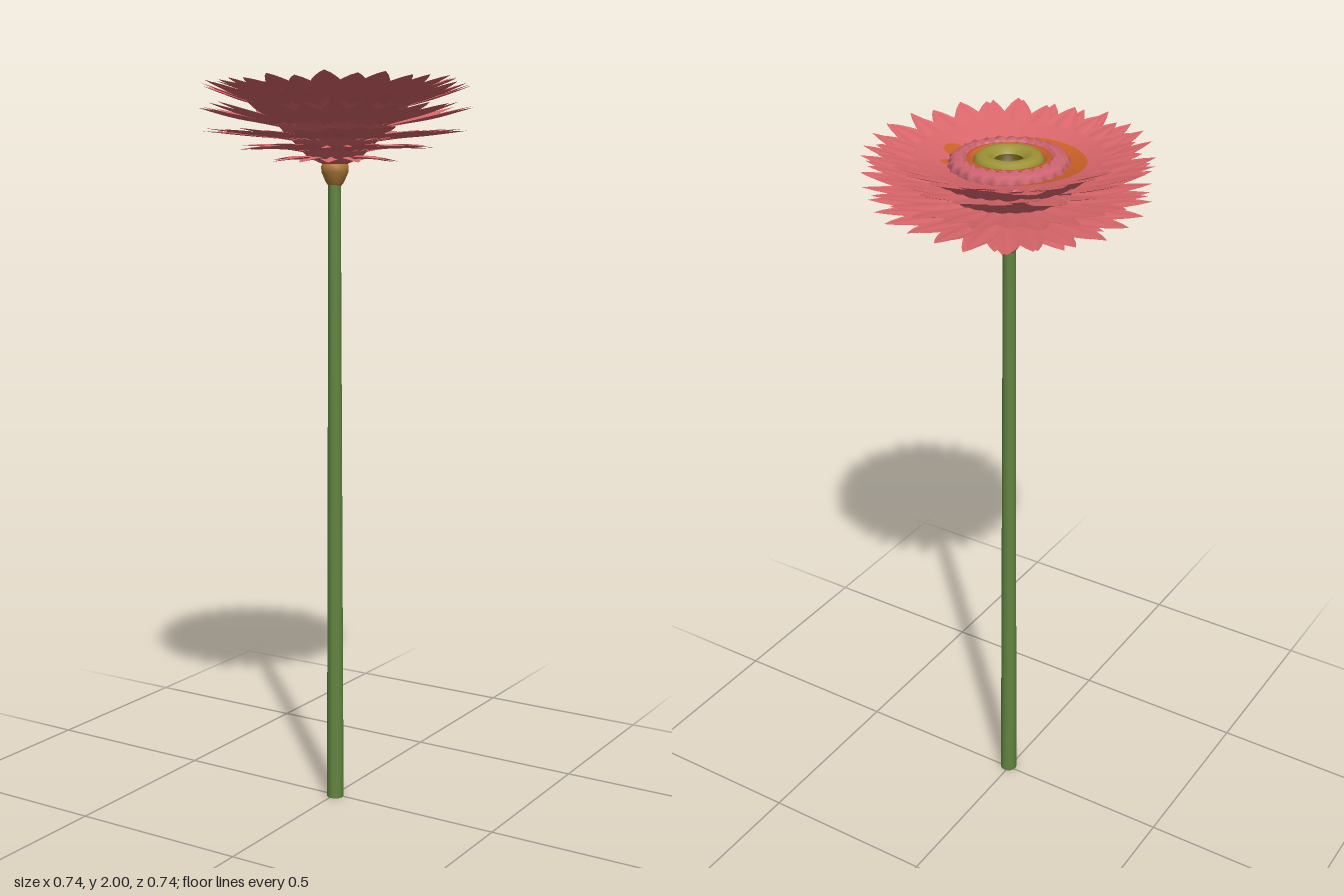
import * as THREE from 'three';
import { mergeGeometries } from 'three/addons/utils/BufferGeometryUtils.js';

const paint = (name, color) => {
  const m = new THREE.MeshStandardMaterial({ color, side: THREE.DoubleSide });
  m.name = name;
  return m;
};

// Height of the shallow bowl formed by the upper petals
const bowlY = (r) => 1.954 + 0.3 * (r - 0.18);

// Small seeded random generator
function seeded(seed) {
  return () => {
    seed = (seed * 16807) % 2147483647;
    return seed / 2147483647;
  };
}

// Grid surface from fn(u, v) -> [x, y, z]
function sheet(nu, nv, fn) {
  const pos = [], idx = [];
  for (let i = 0; i <= nu; i++)
    for (let j = 0; j <= nv; j++) pos.push(...fn(i / nu, j / nv));
  for (let i = 0; i < nu; i++)
    for (let j = 0; j < nv; j++) {
      const a = i * (nv + 1) + j, b = a + nv + 1;
      idx.push(a, a + 1, b, b, a + 1, b + 1);
    }
  const g = new THREE.BufferGeometry();
  g.setAttribute('position', new THREE.Float32BufferAttribute(pos, 3));
  g.setIndex(idx);
  g.computeVertexNormals();
  return g;
}

// One pointed petal running outwards along +z
function petal({ r0, y0, r1, y1, w, bow }, rand) {
  const dr = (rand() - 0.5) * 0.018, dy = (rand() - 0.5) * 0.014;
  const roll = (rand() - 0.5) * 0.16, bend = (rand() - 0.5) * 0.012;
  return sheet(9, 6, (t, v) => {
    const s = v * 2 - 1;
    const half = w * (0.62 + 0.38 * Math.min(1, t * 1.6)) * Math.min(1, Math.pow((1 - t) / 0.42, 0.75));
    const groove = 0.003 * Math.cos(s * Math.PI * 2) * Math.sin(Math.PI * t);
    const x = s * half + bend * t * t;
    const y = y0 + (y1 - y0 + dy) * t - bow * Math.sin(Math.PI * t) - 0.007 * s * s * (1 - t) + groove + x * roll;
    return [x, y, r0 + (r1 - r0 + dr) * t];
  });
}

function petalRing(layer, seed) {
  const rand = seeded(seed), list = [];
  for (let i = 0; i < layer.n; i++) {
    const a = ((i + (layer.shift || 0)) / layer.n) * Math.PI * 2 + (rand() - 0.5) * 0.05;
    list.push(petal(layer, rand).rotateY(a));
  }
  return mergeGeometries(list);
}

const lathe = (pts, seg = 48) => new THREE.LatheGeometry(pts.map((p) => new THREE.Vector2(...p)), seg);

// Thin coloured patch lying on the bowl between two angles
function bowlPatch(a0, a1, outer) {
  return sheet(48, 4, (u, v) => {
    const a = a0 + (a1 - a0) * u;
    const edge = 0.14 + (outer(u) - 0.14) * Math.pow(Math.max(0, Math.sin(Math.PI * u)), 0.4);
    const r = 0.14 + (edge - 0.14) * v;
    return [Math.sin(a) * r, bowlY(r) + 0.003, Math.cos(a) * r];
  });
}

export function createModel() {
  const flower = new THREE.Group();
  flower.name = 'flower';
  const pink = paint('petal pink', 0xd9666a);
  const rose = paint('ruffle rose', 0xcc6470);
  const orange = paint('orange', 0xcc6128);
  const olive = paint('centre olive', 0x9c9236);
  const dark = paint('hollow olive', 0x5e5212);
  const green = paint('stem green', 0x618440);
  const ochre = paint('calyx ochre', 0xae7a38);
  const add = (name, geo, mat) => {
    const m = new THREE.Mesh(geo, mat);
    m.name = name;
    flower.add(m);
  };

  // Stem, slightly leaning and tapering
  const stem = new THREE.CylinderGeometry(0.017, 0.024, 1.74, 16, 8).translate(0, 0.87, 0);
  const sp = stem.attributes.position;
  for (let i = 0; i < sp.count; i++) {
    const k = 1 - sp.getY(i) / 1.74;
    sp.setX(i, sp.getX(i) + 0.005 * k);
    sp.setZ(i, sp.getZ(i) + 0.002 + 0.004 * k);
  }
  stem.computeVertexNormals();
  add('stem', stem, green);

  // Calyx below the head
  add('calyx', lathe([[0.016, 1.715], [0.024, 1.725], [0.036, 1.752], [0.037, 1.768], [0.028, 1.785]], 20), ochre);

  // Head: outer cone closed by the bowl on top
  add('head', lathe([[0.025, 1.77], [0.07, 1.79], [0.13, 1.85], [0.19, 1.92], [0.232, bowlY(0.232) - 0.006]]), pink);
  add('bowl', lathe([[0.235, bowlY(0.235)], [0.18, bowlY(0.18)], [0.08, bowlY(0.08)]], 64), pink);

  // Petal rings from the top down
  [
    { n: 26, r0: 0.17, y0: 1.945, r1: 0.318, y1: 1.996, w: 0.041, bow: 0.0 },
    { n: 28, r0: 0.14, y0: 1.915, r1: 0.364, y1: 1.983, w: 0.042, bow: 0.004, shift: 0 },
    { n: 28, r0: 0.12, y0: 1.875, r1: 0.36, y1: 1.925, w: 0.042, bow: 0.004, shift: 0.5 },
    { n: 26, r0: 0.1, y0: 1.84, r1: 0.35, y1: 1.862, w: 0.04, bow: 0.0, shift: 0.2 },
    { n: 20, r0: 0.07, y0: 1.81, r1: 0.255, y1: 1.818, w: 0.036, bow: -0.006, shift: 0.4 },
    { n: 14, r0: 0.03, y0: 1.785, r1: 0.17, y1: 1.782, w: 0.03, bow: -0.008 },
  ].forEach((layer, i) => add('petalRing' + (i + 1), petalRing(layer, 71 + i * 137), pink));

  // Uneven orange blush around the ruffle
  add('blush', mergeGeometries([
    bowlPatch(0.95, -2.95, (u) => 0.181 + 0.018 * Math.exp(-Math.pow((u - 0.64) / 0.16, 2))),
    bowlPatch(Math.PI / 2 - 0.22, Math.PI / 2 + 0.22, () => 0.186),
    bowlPatch(1.98, 2.22, () => 0.168),
  ]), orange);

  // Ruffled collar, bumped in waves
  const collar = lathe([[0.146, 1.935], [0.149, 1.95], [0.14, 1.964], [0.128, 1.961], [0.118, 1.97], [0.106, 1.962], [0.098, 1.945]], 140);
  const cp = collar.attributes.position;
  for (let i = 0; i < cp.count; i++) {
    const x = cp.getX(i), z = cp.getZ(i), a = Math.atan2(x, z), r = Math.hypot(x, z);
    const k = 1 + 0.025 * Math.sin(26 * a + r * 160) + 0.012 * Math.sin(11 * a);
    cp.setXYZ(i, x * k, cp.getY(i) + 0.004 * Math.cos(26 * a + r * 220), z * k);
  }
  collar.computeVertexNormals();
  add('ruffledCollar', collar, rose);

  // Centre: orange rim, olive cushion and dark hollow
  add('innerRim', lathe([[0.112, 1.95], [0.105, 1.963], [0.094, 1.965], [0.084, 1.95]]), orange);
  add('centreCushion', lathe([[0.088, 1.935], [0.087, 1.958], [0.078, 1.97], [0.062, 1.974], [0.047, 1.97], [0.036, 1.957]]), olive);
  add('centreHollow', lathe([[0.036, 1.957], [0.031, 1.94], [0.018, 1.932], [0, 1.93]], 32), dark);

  return flower;
}
